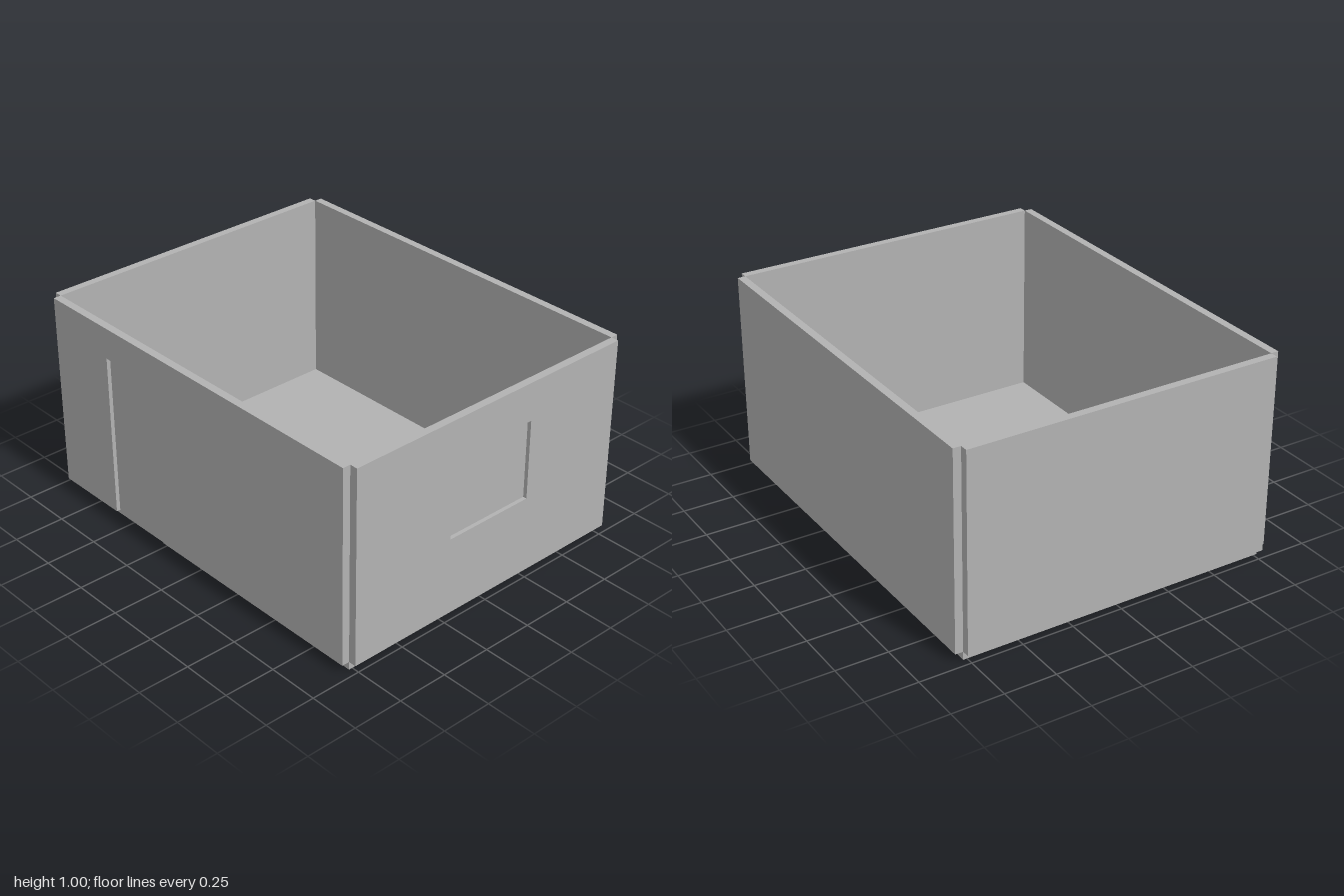
import * as THREE from 'three';

const plaster = new THREE.MeshStandardMaterial({ color: 0xb2b2b2 });
plaster.name = 'grey plaster';

const X = 0.962, Z = 0.768, T = 0.038;  // inner half width, inner half depth, panel thickness
const BASE = 0.04, TOP = 1;             // wall bottom and top
const RECESS = 0.019;                   // depth of the shallow openings

// Slab in the xy plane whose outer side faces +z (back at z = 0).
// opening = [x0, y0, x1, y1]; one that starts at the lower edge becomes a notch.
function panel(name, w, y0, y1, thick, opening) {
  const group = new THREE.Group();
  group.name = name;
  const h = y1 - y0;
  const backing = opening ? thick - RECESS : thick;
  const back = new THREE.Mesh(new THREE.BoxGeometry(w, h, backing), plaster);
  back.name = name + 'Backing';
  back.position.set(0, (y0 + y1) / 2, backing / 2);
  group.add(back);
  if (!opening) return group;

  const [a, b, c, d] = opening;
  const points = (list) => list.map(([x, y]) => new THREE.Vector2(x, y));
  const notch = b <= y0;
  const outline = [[w / 2, y0], [w / 2, y1], [-w / 2, y1], [-w / 2, y0]];
  if (notch) outline.push([a, y0], [a, d], [c, d], [c, y0]);
  const shape = new THREE.Shape(points(outline));
  if (!notch) shape.holes.push(new THREE.Path(points([[a, b], [a, d], [c, d], [c, b]])));
  const face = new THREE.Mesh(
    new THREE.ExtrudeGeometry(shape, { depth: RECESS, bevelEnabled: false }), plaster);
  face.name = name + 'Face';
  face.position.z = backing;
  group.add(face);
  return group;
}

export function createModel() {
  const room = new THREE.Group();
  room.name = 'room';

  // Front wall with the door recess
  const front = panel('frontWall', 2 * X, BASE, TOP, T, [-0.58, BASE, -0.23, 0.847]);
  front.position.z = Z;

  // Plain back wall
  const back = panel('backWall', 2 * X, BASE, TOP, T);
  back.rotation.y = Math.PI;
  back.position.z = -Z;

  // Side wall with the window recess
  const left = panel('leftWall', 2 * Z, BASE, TOP, T, [-0.232, 0.422, 0.232, 0.812]);
  left.rotation.y = Math.PI / 2;
  left.position.x = X;

  // Plain side wall
  const right = panel('rightWall', 2 * Z, BASE, TOP, T);
  right.rotation.y = -Math.PI / 2;
  right.position.x = -X;

  // Floor slab with a shallow rectangular inset
  const floor = panel('floor', 2 * X, -Z, Z, BASE, [-0.345, -0.153, 0.345, 0.153]);
  floor.rotation.x = -Math.PI / 2;

  room.add(front, back, left, right, floor);
  return room;
}
